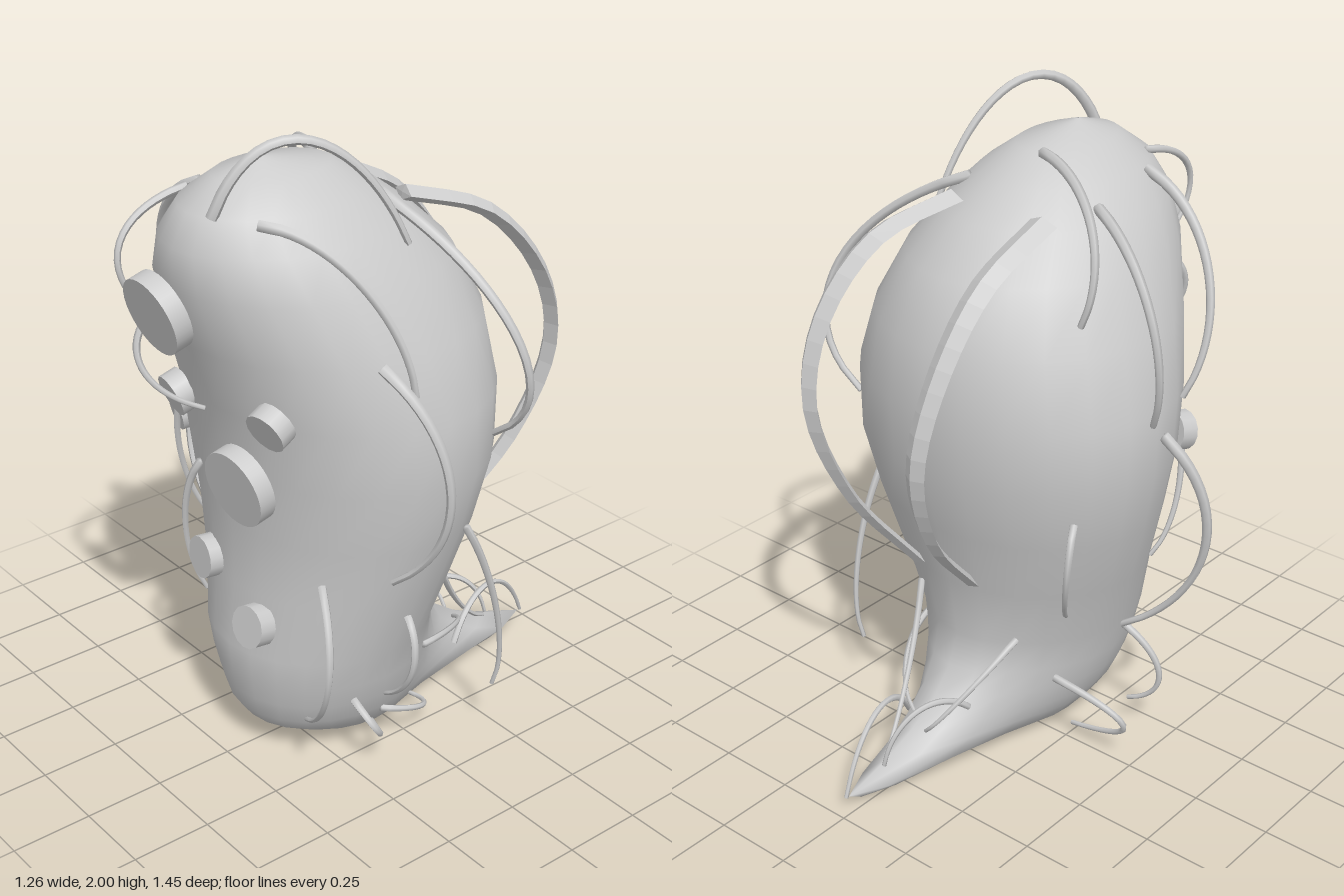
import * as THREE from 'three';

const material = new THREE.MeshStandardMaterial({ color: 0xcccccc, side: THREE.DoubleSide });
const SIDES = 24;

// Body sections: [height, half width, front z, back z]
const BODY = [
  [0.005, 0.002, 0.1, 0.09], [0.018, 0.14, 0.24, -0.12], [0.05, 0.2, 0.31, -0.17],
  [0.1, 0.24, 0.4, -0.19], [0.15, 0.27, 0.435, -0.2], [0.22, 0.3, 0.455, -0.2],
  [0.3, 0.325, 0.47, -0.2], [0.4, 0.35, 0.48, -0.2], [0.6, 0.41, 0.455, -0.255],
  [0.8, 0.47, 0.455, -0.31], [1.0, 0.512, 0.475, -0.36], [1.2, 0.512, 0.505, -0.37],
  [1.4, 0.455, 0.575, -0.355], [1.58, 0.375, 0.625, -0.27], [1.7, 0.3, 0.62, -0.14],
  [1.79, 0.22, 0.57, -0.02], [1.86, 0.125, 0.47, 0.1], [1.9, 0.002, 0.335, 0.33],
];

// Body section at any height
function sectionAt(height) {
  const found = BODY.findIndex(r => r[0] >= height);
  const i = Math.max(found, 1);
  const t = (height - BODY[i - 1][0]) / (BODY[i][0] - BODY[i - 1][0]);
  return BODY[i].map((v, k) => THREE.MathUtils.lerp(BODY[i - 1][k], v, t));
}

// Skin point at an angle from the front (+z) towards +x; reach > 1 stands off the skin.
// Low down, the back is drawn out into a pointed tail.
function bodyPoint(angle, height, reach = 1) {
  const [y, w, front, back] = sectionAt(height);
  const s = Math.sin(angle), c = Math.cos(angle);
  const length = 0.535 * Math.exp(-Math.max(y - 0.05, 0) / 0.12) * Math.min(1, w * 8);
  const pull = length * Math.max(-c, 0) ** 6;
  return new THREE.Vector3(reach * w * s + pull * 0.035, y,
    (front + back) / 2 + reach * c * (front - back) / 2 - pull);
}

function addMesh(parent, geometry, name) {
  const mesh = new THREE.Mesh(geometry, material);
  mesh.name = name;
  parent.add(mesh);
  return mesh;
}

// Smooth skin over the body rings
function bodySkin() {
  const points = [], index = [];
  BODY.forEach(([y], i) => {
    for (let j = 0; j < SIDES; j++) {
      points.push(bodyPoint((j / SIDES) * Math.PI * 2, y));
      if (i === BODY.length - 1) continue;
      const p = i * SIDES + j, q = i * SIDES + ((j + 1) % SIDES);
      index.push(p, q, q + SIDES, p, q + SIDES, p + SIDES);
    }
  });
  const g = new THREE.BufferGeometry().setFromPoints(points);
  g.setIndex(index);
  g.computeVertexNormals();
  return g;
}

// Tapered tube with blunt closed ends; flat < 1 squashes it into a strap that is wide in x
function strand(curve, radius, sides = 6, flat = 1) {
  const steps = 22;
  const g = new THREE.TubeGeometry(curve, steps, radius, sides);
  const pos = g.attributes.position, v = new THREE.Vector3();
  for (let n = 0; n < pos.count; n++) {
    const i = Math.floor(n / (sides + 1)), t = i / steps;
    v.fromBufferAttribute(pos, n).sub(curve.getPointAt(t));
    v.multiplyScalar(i === 0 || i === steps ? 0.02 : 1.1 - 0.5 * t);
    const c = curve.getPointAt(i === 1 ? 0.002 : i === steps - 1 ? 0.998 : t);
    pos.setXYZ(n, c.x + v.x, c.y + v.y * flat, c.z + v.z * flat);
  }
  g.computeVertexNormals();
  return g;
}

// Arc from start to end that passes through a middle point
function bow(start, middle, end) {
  const centre = middle.clone().multiplyScalar(8).sub(start).sub(end).divideScalar(6);
  const step = end.clone().sub(start).multiplyScalar(0.25);
  return new THREE.CubicBezierCurve3(start, centre.clone().sub(step), centre.clone().add(step), end);
}

// Strands rooted on the skin: [start angle, start y, end angle, end y, middle x, y, z, end reach]
function addStrands(parent, list, radius, name) {
  list.forEach(([a0, y0, a1, y1, x, y, z, reach]) => {
    const curve = bow(bodyPoint(a0, y0), new THREE.Vector3(x, y, z), bodyPoint(a1, y1, reach));
    addMesh(parent, strand(curve, radius), name);
  });
}

export function createModel() {
  const model = new THREE.Group();
  model.name = 'creature';
  addMesh(model, bodySkin(), 'bodyAndTail');

  // Round buttons following the slope of the front: [x, y, radius, stand-off]
  [
    [-0.01, 1.54, 0.118, 0.055], [0.095, 0.985, 0.12, 0.025], [-0.185, 1.18, 0.066, 0.025],
    [0.235, 1.225, 0.066, 0.02], [-0.38, 1.0, 0.062, 0.015], [-0.125, 0.635, 0.066, 0.02],
    [0.115, 0.51, 0.066, 0.02],
  ].forEach(([x, y, r, out]) => {
    const slope = sectionAt(y + 0.1)[2] - sectionAt(y - 0.1)[2];
    const normal = new THREE.Vector3(x * 0.7, -8 * slope, 1).normalize();
    const disc = addMesh(model, new THREE.CylinderGeometry(r, r, 0.055, r > 0.1 ? 32 : 14), 'button');
    disc.position.copy(bodyPoint(Math.asin(x / sectionAt(y)[1]), y)).addScaledVector(normal, out);
    disc.quaternion.setFromUnitVectors(new THREE.Vector3(0, 1, 0), normal);
  });

  // Two broad straps arching over the back, the second one hanging a little lower
  const arch = [[1.74, -0.07], [1.66, -0.31], [1.45, -0.48], [1.2, -0.54], [0.9, -0.45], [0.62, -0.25]];
  const straps = [
    { xAt: t => 0.13 + 0.15 * Math.sin(Math.PI * t), sag: 0 },
    { xAt: t => -0.2 + 0.12 * t, sag: 0.08 },
  ];
  straps.forEach(({ xAt, sag }) => {
    const path = arch.map(([y, z], i) => {
      const t = i / (arch.length - 1);
      return new THREE.Vector3(xAt(t), y - sag * Math.sin(Math.PI * t), z);
    });
    const geometry = strand(new THREE.CatmullRomCurve3(path), 0.045, 4, 0.5).toNonIndexed();
    geometry.computeVertexNormals();
    addMesh(model, geometry, 'backStrap');
  });

  // Thicker strands around the head and flanks
  addStrands(model, [
    [0.39, 1.79, 2.03, 1.66, 0.19, 1.985, 0.31],
    [2.42, 1.77, 2.14, 1.07, 0.57, 1.42, -0.12],
    [0.88, 1.78, 1.4, 1.3, 0.38, 1.63, 0.28],
    [1.26, 1.4, 1.27, 0.7, 0.61, 1.05, 0.15],
    [-1.99, 1.74, -1.63, 1.17, -0.51, 1.52, 0.01],
    [-2.77, 1.86, -2.13, 1.48, -0.33, 1.75, -0.03],
    [-1.2, 1.78, -1.14, 1.17, -0.46, 1.53, 0.36],
    [-1.5, 1.12, -1.55, 0.39, -0.615, 0.74, 0.18],
  ], 0.016, 'sideStrand');

  // Fine strands on the front and lower body
  addStrands(model, [
    [-0.83, 1.8, -0.28, 1.43, -0.16, 1.66, 0.69],
    [-0.45, 1.46, -0.1, 1.17, -0.19, 1.29, 0.62],
    [-0.7, 1.1, -1.1, 0.59, -0.395, 0.82, 0.36],
    [-0.33, 0.94, -0.73, 0.44, -0.24, 0.7, 0.46],
    [0.75, 0.69, 0.8, 0.17, 0.42, 0.44, 0.43],
    [1.94, 0.8, 2.15, 0.19, 0.465, 0.47, -0.18, 1.8],
    [1.57, 0.54, 1.6, 0.22, 0.44, 0.38, 0.13],
    [1.25, 0.24, 1.5, 0.07, 0.37, 0.15, 0.2],
    [-1.5, 0.38, -1.4, 0.1, -0.46, 0.22, 0.2, 1.5],
    [-2.2, 0.26, -1.7, 0.04, -0.48, 0.15, -0.01, 1.4],
    [-2.2, 0.9, -2.2, 0.52, -0.41, 0.72, -0.22],
  ], 0.0115, 'fineStrand');

  // Fine strands trailing over the tail
  addStrands(model, [
    [2.2, 0.3, 3.0, 0.17, 0.18, 0.25, -0.27],
    [2.7, 0.52, 3.1, 0.1, 0.1, 0.27, -0.35],
    [-2.6, 0.42, -3.0, 0.15, -0.12, 0.27, -0.36],
    [2.7, 0.12, 3.14, 0.05, 0.06, 0.245, -0.53, 1.05],
    [-2.8, 0.2, -3.1, 0.09, -0.04, 0.25, -0.46],
    [1.6, 0.14, 2.2, 0.06, 0.28, 0.09, -0.05],
  ], 0.0105, 'tailStrand');
  return model;
}
